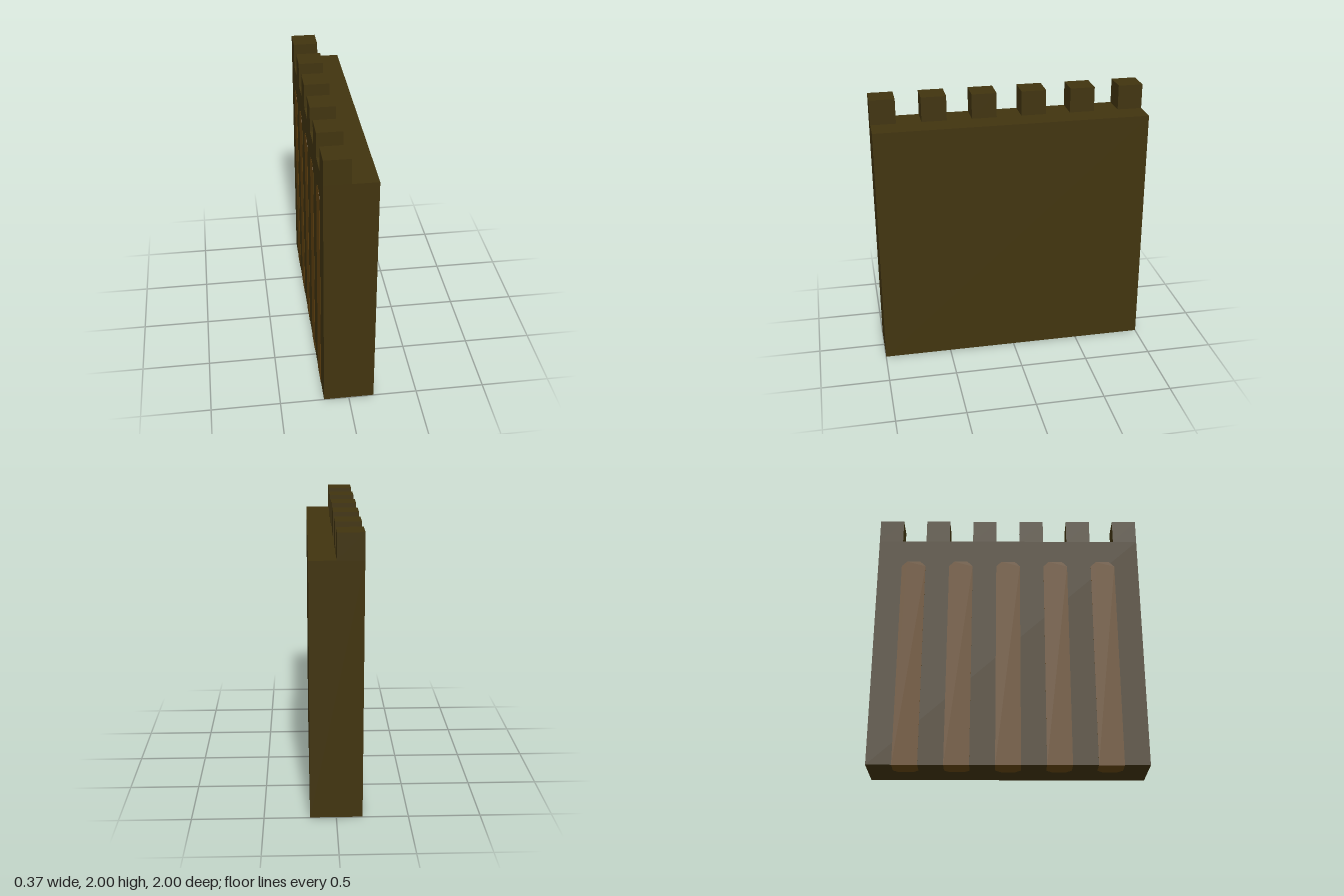
import * as THREE from 'three';

const U = 2 / 11;        // one merlon width; the wall is 11 of them long
const SKIN = 0.002;      // thickness of the coloured inlay plates

// Plate standing on its base line, with its two far corners chamfered
function chamferedPlate(width, height, chamfer) {
  const w = width / 2;
  const shape = new THREE.Shape([
    new THREE.Vector2(-w, 0),
    new THREE.Vector2(w, 0),
    new THREE.Vector2(w, height - chamfer),
    new THREE.Vector2(w - chamfer, height),
    new THREE.Vector2(-w + chamfer, height),
    new THREE.Vector2(-w, height - chamfer),
  ]);
  return new THREE.ExtrudeGeometry(shape, { depth: SKIN, bevelEnabled: false });
}

export function createModel() {
  const group = new THREE.Group();
  const stone = new THREE.MeshStandardMaterial({ name: 'darkOlive', color: 0x41340f });
  const brown = new THREE.MeshStandardMaterial({ name: 'warmBrown', color: 0x64440f });

  function add(name, geometry, material, x, y, z) {
    const mesh = new THREE.Mesh(geometry, material);
    mesh.name = name;
    mesh.position.set(x, y, z);
    group.add(mesh);
  }

  // Wall body, a hair above the ground so the underside inlays rest on it
  const wallHeight = 10 * U - SKIN;
  add('wall', new THREE.BoxGeometry(2 * U, wallHeight, 2), stone, 0, SKIN + wallHeight / 2, 0);

  // Six merlons along the outer edge
  const merlon = new THREE.BoxGeometry(U, U, U);
  for (let i = 0; i < 6; i++) {
    add('merlon', merlon, stone, -U / 2, 10.5 * U, (i - 2.5) * 2 * U);
  }

  // Five inlaid pillars, centred under the gaps: outer face and underside
  const facePlate = chamferedPlate(U, 9 * U, 0.04).rotateY(-Math.PI / 2);
  const footPlate = chamferedPlate(U, 0.9 * U, 0.04).rotateX(Math.PI / 2).rotateY(Math.PI / 2);
  for (let i = -2; i <= 2; i++) {
    add('pillarFace', facePlate, brown, -U, 0, i * 2 * U);
    add('pillarFoot', footPlate, brown, -U, SKIN, i * 2 * U);
  }

  return group;
}
